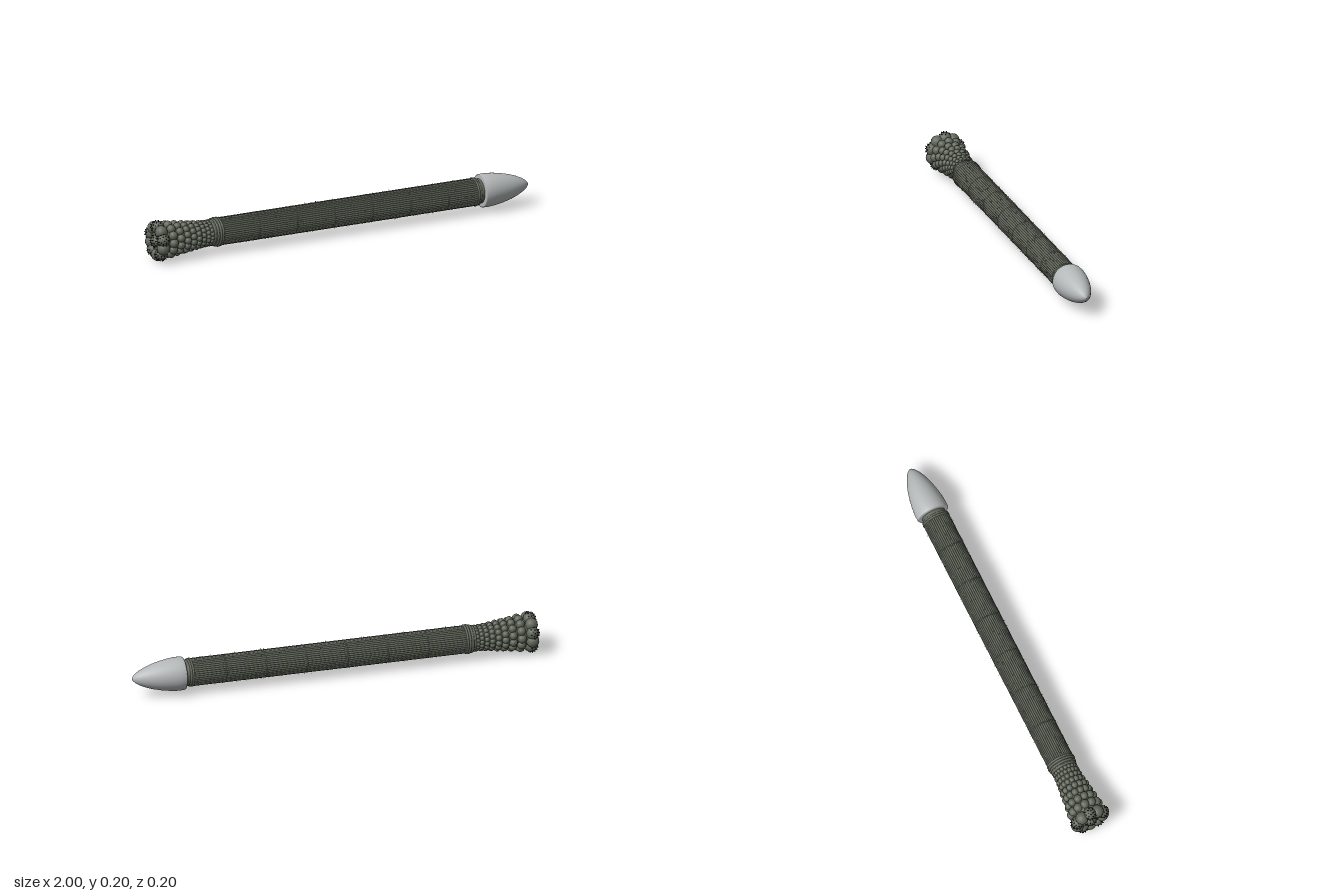
import * as THREE from 'three';
import { mergeGeometries } from 'three/addons/utils/BufferGeometryUtils.js';

const AXIS_Y = 0.1;

export function createModel() {
  const group = new THREE.Group();
  const material = (name, color, extra = {}) => {
    const m = new THREE.MeshStandardMaterial({ color, ...extra });
    m.name = name;
    return m;
  };
  const olive = material('olive grey', 0x62675b);
  const pale = material('pale grey', 0xb4b8b8);
  const black = material('black', 0x101010);

  const add = (name, geometry, mat) => {
    const mesh = new THREE.Mesh(geometry, mat);
    mesh.name = name;
    mesh.position.y = AXIS_Y;
    group.add(mesh);
    return mesh;
  };
  // Revolve [x, radius] points (given from low x to high x) about the x axis
  const revolve = (points, sides = 40) =>
    new THREE.LatheGeometry(points.map(([x, r]) => new THREE.Vector2(r, x)), sides).rotateZ(-Math.PI / 2);
  const radial = (x, r, a) => new THREE.Vector3(x, r * Math.sin(a), r * Math.cos(a));
  const sphereAt = (p, r) => new THREE.SphereGeometry(r, 14, 10).translate(p.x, p.y, p.z);
  const UP = new THREE.Vector3(0, 1, 0);
  // Turn a y-aligned geometry along a direction and move it to a point
  const aim = (geometry, dir, p) =>
    geometry.applyQuaternion(new THREE.Quaternion().setFromUnitVectors(UP, dir)).translate(p.x, p.y, p.z);

  let seed = 7;
  const random = () => (seed = (seed * 16807) % 2147483647) / 2147483647;

  // Shaft: a core wrapped by long strands
  add('shaftCore', revolve([[-0.68, 0], [-0.68, 0.0635], [0.73, 0.0635], [0.73, 0]]), olive);
  const strands = [];
  for (let i = 0; i < 40; i++) {
    const p = radial(0.035, 0.0618, (i / 40) * Math.PI * 2);
    strands.push(new THREE.CylinderGeometry(0.0055, 0.0055, 1.37, 8).rotateZ(-Math.PI / 2).translate(p.x, p.y, p.z));
  }
  add('shaftStrands', mergeGeometries(strands), olive);

  // Faint bands around the shaft
  const ring = (x, r, tube) => new THREE.TorusGeometry(r, tube, 8, 40).rotateY(Math.PI / 2).translate(x, 0, 0);
  const bands = [-0.45, -0.25, -0.05, 0.15, 0.35, 0.55].map((x) => ring(x, 0.0645, 0.0033));
  add('shaftBands', mergeGeometries(bands), olive);

  // Short bristles along the shaft
  const bristles = [];
  for (let i = 0; i < 500; i++) {
    const a = random() * Math.PI * 2;
    const p = radial(-0.63 + random() * 1.33, 0.069, a);
    const dir = radial(0.8 * (random() - 0.5), 1, a).normalize();
    bristles.push(aim(new THREE.ConeGeometry(0.0012, 0.011, 4), dir, p));
  }
  add('bristles', mergeGeometries(bristles), olive);

  // Rings at both ends of the shaft
  const collars = [[-0.682, 0.059], [-0.668, 0.063], [-0.655, 0.066], [-0.643, 0.065], [0.712, 0.064], [0.722, 0.062]];
  add('collars', mergeGeometries(collars.map(([x, r]) => ring(x, r, 0.006))), olive);
  add('neck', revolve([[0.715, 0.064], [0.735, 0.059], [0.755, 0.059]]), olive);

  // Pale pointed tip
  add('tip', revolve([[0.745, 0], [0.745, 0.076], [0.75, 0.08], [0.78, 0.081], [0.82, 0.077], [0.86, 0.07],
    [0.9, 0.06], [0.935, 0.048], [0.965, 0.034], [0.985, 0.021], [0.996, 0.009], [1, 0]]), pale);

  // Flared head covered by staggered rows of beads
  add('headCore', revolve([[-0.975, 0], [-0.975, 0.055], [-0.94, 0.068], [-0.86, 0.064], [-0.76, 0.058], [-0.66, 0.054]]), olive);
  const rows = [ // x, bead radius, ring radius, count
    [-0.908, 0.022, 0.070, 12], [-0.867, 0.0195, 0.066, 12], [-0.83, 0.0175, 0.063, 14], [-0.797, 0.016, 0.06, 14],
    [-0.767, 0.0145, 0.057, 16], [-0.74, 0.013, 0.055, 16], [-0.716, 0.012, 0.054, 18], [-0.695, 0.011, 0.053, 18],
  ];
  const beads = [];
  rows.forEach(([x, r, R, n], row) => {
    for (let i = 0; i < n; i++) beads.push(sphereAt(radial(x, R, ((i + (row % 2) / 2) / n) * Math.PI * 2), r));
  });
  add('beadRows', mergeGeometries(beads), olive);

  // Large end beads; every second one and the centre carry black studs
  const endBeads = [];
  const studs = [];
  const studBead = (center, r, axis) => {
    const turn = new THREE.Quaternion().setFromUnitVectors(UP, axis);
    for (let i = 0; i < 22; i++) {
      const c = 1 - ((i + 0.5) / 22) * 0.75;
      const s = Math.sqrt(1 - c * c);
      const a = i * 2.39996;
      const dir = new THREE.Vector3(s * Math.cos(a), c, s * Math.sin(a)).applyQuaternion(turn);
      studs.push(aim(new THREE.CylinderGeometry(0.0025, 0.003, 0.008, 6), dir, center.clone().addScaledVector(dir, r)));
    }
  };
  for (let i = 0; i < 10; i++) {
    const a = Math.PI / 2 + (i * Math.PI) / 5;
    const p = radial(-0.962, 0.068, a);
    endBeads.push(sphereAt(p, 0.031));
    if (i % 2 === 0) studBead(p, 0.031, radial(-0.9, 1, a).normalize());
  }
  const middle = new THREE.Vector3(-0.965, 0, 0);
  endBeads.push(sphereAt(middle, 0.031));
  studBead(middle, 0.031, new THREE.Vector3(-1, 0, 0));
  add('endBeads', mergeGeometries(endBeads), olive);
  add('studs', mergeGeometries(studs), black);

  return group;
}
